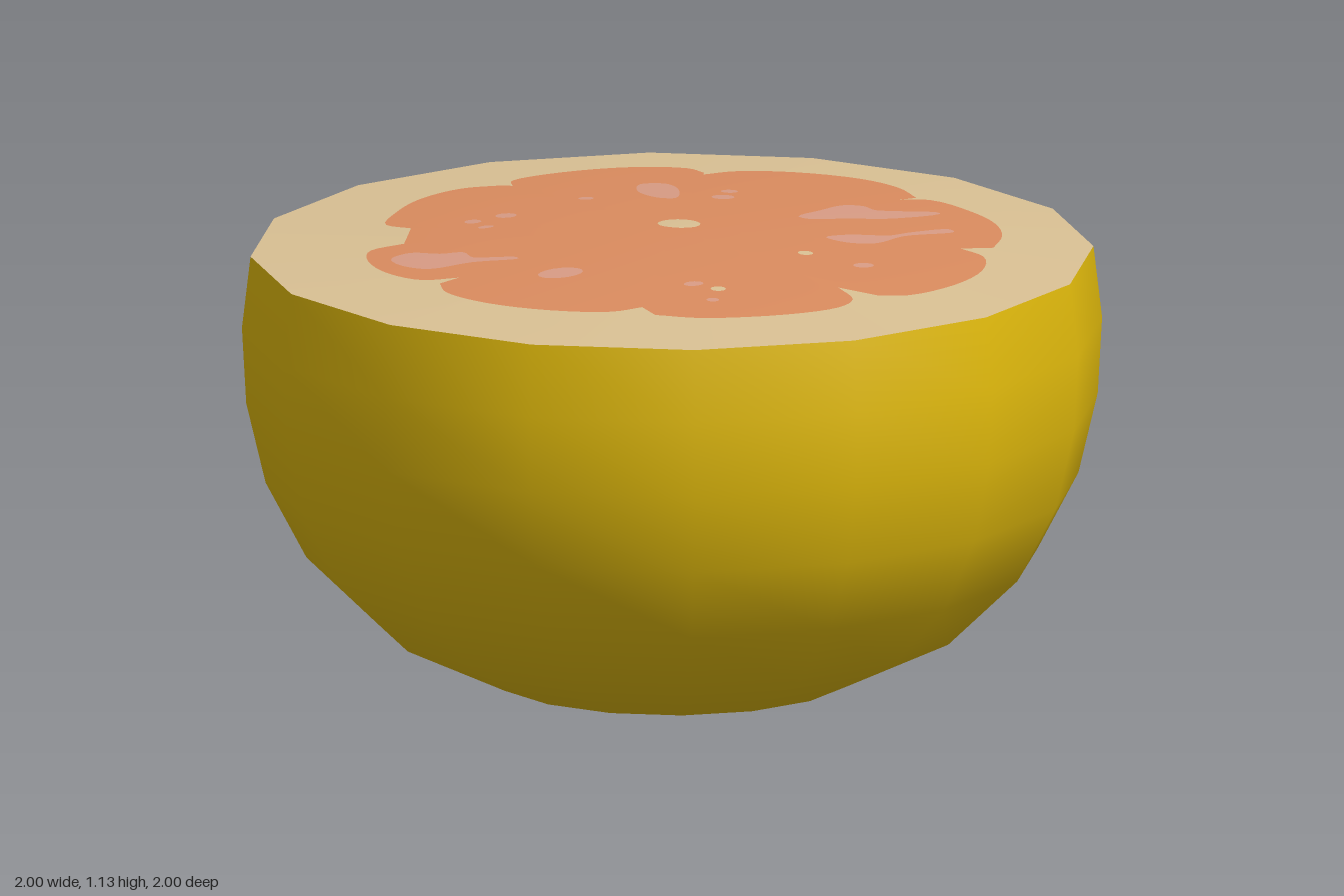
import * as THREE from 'three';

const RIM_R = 0.98, RIM_Y = 1.07, TOP_Y = 1.125;
const cutHeight = (x, z) => TOP_Y - (TOP_Y - RIM_Y) * Math.hypot(x, z) / RIM_R;

const flat = (name, color) => new THREE.MeshStandardMaterial({ name, color });

// Thin sheet laid on the domed cut face: a fan of clockwise [x, z] points round a centre
function sheet(points, lift, centre) {
  const n = points.length;
  const [cx, cz] = centre || [0, 1].map(k => points.reduce((s, p) => s + p[k], 0) / n);
  const pos = [cx, cutHeight(cx, cz) + lift, cz];
  const index = [];
  points.forEach(([x, z], i) => {
    pos.push(x, cutHeight(x, z) + lift, z);
    index.push(0, 1 + (i + 1) % n, 1 + i);
  });
  const geo = new THREE.BufferGeometry();
  geo.setAttribute('position', new THREE.Float32BufferAttribute(pos, 3));
  geo.setIndex(index);
  geo.computeVertexNormals();
  return geo;
}

// Smooth curve through [x, z] points
function smooth(points, closed, steps) {
  const curve = new THREE.CatmullRomCurve3(points.map(([x, z]) => new THREE.Vector3(x, 0, z)), closed);
  return curve.getPoints(steps).slice(0, -1).map(p => [p.x, p.z]);
}

const oval = (x, z, rx, rz = rx) => Array.from({ length: 16 }, (_, i) => {
  const a = i / 16 * Math.PI * 2;
  return [x + rx * Math.cos(a), z + rz * Math.sin(a)];
});

export function createModel() {
  const group = new THREE.Group();
  const rindMat = flat('yellow rind', 0xe2bb0c);
  const pithMat = flat('cream pith', 0xdac194);
  const pulpMat = flat('orange pulp', 0xdb8c5f);
  const shineMat = flat('pale pulp', 0xd99c85);
  const add = (name, geo, mat) => {
    const mesh = new THREE.Mesh(geo, mat);
    mesh.name = name;
    group.add(mesh);
  };
  const lathe = profile => new THREE.LatheGeometry(profile.map(p => new THREE.Vector2(...p)), 16);

  // Rind bowl and the shallow cone of the cut face
  add('rind', lathe([[0, 0], [0.43, 0.065], [0.68, 0.185], [0.85, 0.35], [0.945, 0.53],
    [0.99, 0.72], [1, 0.9], [RIM_R, RIM_Y]]), rindMat);
  add('pith', lathe([[RIM_R, RIM_Y], [0, TOP_Y]]), pithMat);

  // Lobes of pulp, each running from one notch to the next
  const lobes = [
    [[-0.09, -0.67], [-0.06, -0.73], [0.08, -0.76], [0.25, -0.74], [0.36, -0.67], [0.37, -0.6]],
    [[0.35, -0.58], [0.45, -0.59], [0.57, -0.53], [0.68, -0.41], [0.72, -0.29], [0.71, -0.17]],
    [[0.65, -0.16], [0.73, -0.14], [0.77, 0], [0.77, 0.13], [0.73, 0.25], [0.66, 0.35]],
    [[0.58, 0.34], [0.6, 0.42], [0.54, 0.54], [0.42, 0.64], [0.28, 0.69], [0.21, 0.67]],
    [[0.15, 0.58], [0.14, 0.68], [0.08, 0.73], [-0.06, 0.74], [-0.25, 0.69], [-0.34, 0.62]],
    [[-0.34, 0.55], [-0.42, 0.55], [-0.54, 0.47], [-0.64, 0.34], [-0.68, 0.21], [-0.66, 0.13]],
    [[-0.6, 0.11], [-0.68, 0.08], [-0.72, -0.02], [-0.71, -0.15], [-0.66, -0.24], [-0.57, -0.25]],
    [[-0.49, -0.38], [-0.52, -0.45], [-0.45, -0.55], [-0.33, -0.66], [-0.2, -0.71], [-0.11, -0.69]],
  ];
  const outline = lobes.flatMap(l => [...smooth(l, false, 20), l[l.length - 1]]);
  add('pulp', sheet(outline, 0.003, [0, 0]), pulpMat);

  // Core and small flecks of pith
  add('core', sheet(oval(0.03, -0.025, 0.05), 0.006, [0, 0]), pithMat);
  [[0.2, 0.3], [-0.12, 0.5]].forEach(([x, z]) =>
    add('pithFleck', sheet(oval(x, z, 0.018), 0.006), pithMat));

  // Pale patches in the pulp
  const patches = [
    [[0.13, -0.34], [0.12, -0.43], [0.17, -0.52], [0.22, -0.5], [0.22, -0.43], [0.16, -0.32]],
    [[0.34, -0.03], [0.42, -0.08], [0.5, -0.12], [0.54, -0.1], [0.55, -0.05], [0.68, 0],
      [0.68, 0.02], [0.52, 0.04], [0.46, 0.02], [0.35, 0]],
    [[0.31, 0.18], [0.38, 0.17], [0.45, 0.2], [0.53, 0.18], [0.63, 0.17], [0.63, 0.2],
      [0.5, 0.21], [0.4, 0.26], [0.34, 0.24]],
    [[-0.66, -0.13], [-0.6, -0.15], [-0.55, -0.1], [-0.5, -0.08], [-0.5, -0.02], [-0.42, 0.03],
      [-0.42, 0.05], [-0.52, 0.015], [-0.63, 0.01], [-0.67, -0.06]],
  ];
  patches.forEach(p => add('palePatch', sheet(smooth(p, true, 40), 0.006), shineMat));

  const spots = [[-0.39, 0.215, 0.055, 0.04], [-0.26, -0.35, 0.025], [-0.35, -0.34, 0.02],
    [-0.35, -0.27, 0.02, 0.013], [-0.02, -0.42, 0.018], [0.27, -0.29, 0.027], [0.315, -0.35, 0.02],
    [0.285, 0.435, 0.025, 0.02], [-0.155, 0.44, 0.024, 0.018], [-0.17, 0.575, 0.015]];
  spots.forEach(s => add('paleSpot', sheet(oval(...s), 0.006), shineMat));

  // Centre the whole model in depth and width
  return group;
}
